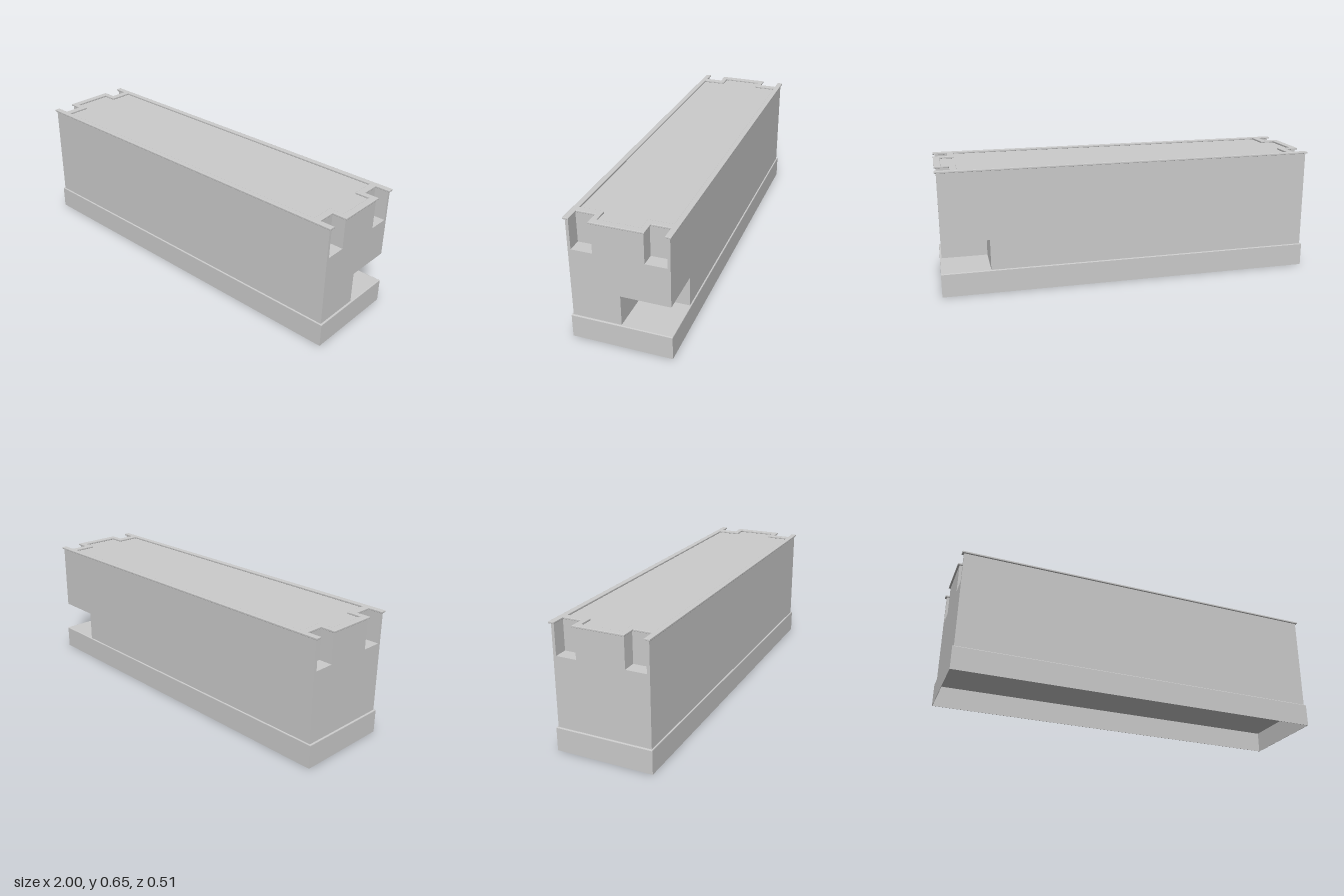
import * as THREE from 'three';

const material = new THREE.MeshStandardMaterial({ color: 0xcccccc, flatShading: true });

// Plan outlines are lists of [x, z], anticlockwise seen from above
const toVectors = (points) => points.map(([x, z]) => new THREE.Vector2(x, -z));
const rect = (x0, x1, z0, z1) => [[x0, z0], [x0, z1], [x1, z1], [x1, z0]];

// Vertical slab from a plan outline, with an optional hole and edge bevel
function slab(name, outline, y0, y1, hole, bevel = 0) {
  const shape = new THREE.Shape(toVectors(outline));
  if (hole) shape.holes.push(new THREE.Path(toVectors(hole)));
  const geometry = new THREE.ExtrudeGeometry(shape, {
    depth: y1 - y0 - 2 * bevel,
    bevelEnabled: bevel > 0,
    bevelSize: bevel, bevelThickness: bevel, bevelOffset: -bevel, bevelSegments: 2,
  });
  geometry.rotateX(-Math.PI / 2).translate(0, y0 + bevel, 0);
  const mesh = new THREE.Mesh(geometry, material);
  mesh.name = name;
  return mesh;
}

// Mirrors a quarter outline (in +x, +z) into a full closed loop
function mirrored(quarter) {
  const half = [...quarter, ...[...quarter].reverse().map(([x, z]) => [x, -z])];
  return [...half, ...[...half].reverse().map(([x, z]) => [-x, z])];
}

// Rectangle with two slots open to each end
const slotted = (x, z, slotX, slotIn, slotOut) => mirrored([
  [x, z], [x, slotOut], [slotX, slotOut], [slotX, slotIn], [x, slotIn],
]);

export function createModel() {
  const group = new THREE.Group();
  const X = 0.991, Z = 0.248;         // body half sizes
  const cutX = 0.747, cutTop = 0.285; // back corner cutout

  // Hollow base, open underneath
  group.add(slab('baseWalls', rect(-1, 1, -0.255, 0.255), 0, 0.119,
    rect(-0.998, 0.998, -0.253, 0.253)));
  group.add(slab('baseTop', rect(-1, 1, -0.255, 0.255), 0.114, 0.124, null, 0.004));

  // Body, with one lower corner cut away
  group.add(slab('lowerBody',
    [[-X, -Z], [-X, Z], [X, Z], [X, 0], [cutX, 0], [cutX, -Z]], 0.124, cutTop));
  group.add(slab('cutoutCeilingRim', rect(-X, X, -Z, Z), cutTop, 0.295,
    rect(cutX + 0.02, X - 0.02, -Z + 0.02, -0.02)));
  group.add(slab('middleBody', rect(-X, X, -Z, Z), 0.295, 0.488));

  // Upper body with corner slots, and a rim around the sunken top
  group.add(slab('upperBody', slotted(X, Z, 0.92, 0.126, 0.233), 0.488, 0.645));
  group.add(slab('topRim', slotted(1, 0.256, 0.925, 0.133, 0.227), 0.645, 0.655,
    mirrored([[0.89, 0.228], [0.89, 0.105], [0.965, 0.105]]), 0.002));

  return group;
}
